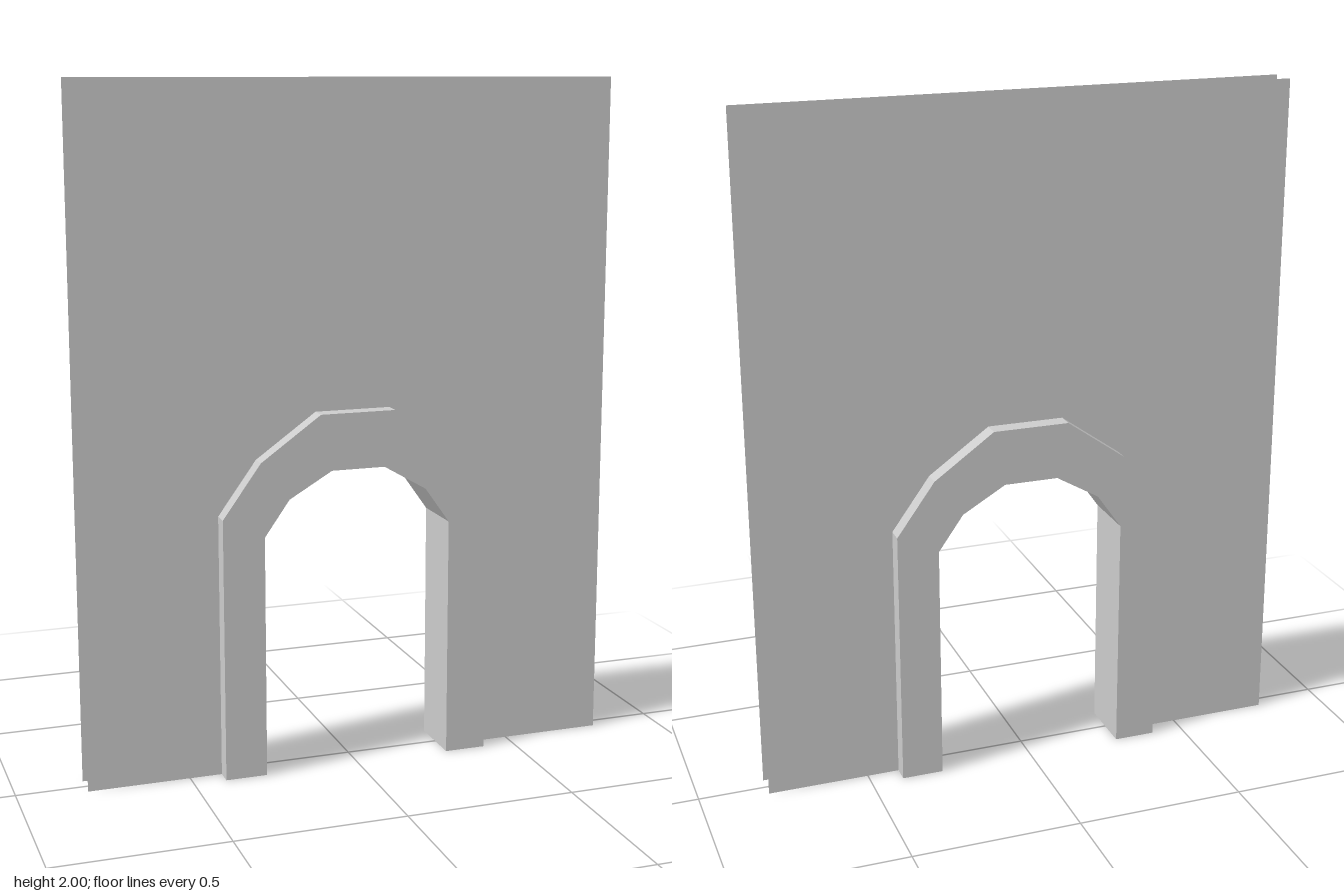
import * as THREE from 'three';

// right half of each arch outline, from the floor up
const OUTER = [[0.405, 0], [0.405, 0.775], [0.292, 0.932], [0.113, 1.06]];
const INNER = [[0.282, 0], [0.282, 0.715], [0.208, 0.82], [0.08, 0.895]];
const SHEET_Z = 0.04, TRIM_Z = 0.09;

// full arch outline, from right foot over the top to left foot
function arch(half) {
  const right = half.map(([x, y]) => new THREE.Vector2(x, y));
  const left = half.map(([x, y]) => new THREE.Vector2(-x, y)).reverse();
  return [...right, ...left];
}

export function createModel() {
  const group = new THREE.Group();
  const solid = new THREE.MeshStandardMaterial({ color: 0xcccccc, flatShading: true });
  const thin = new THREE.MeshStandardMaterial({ color: 0xcccccc, flatShading: true, side: THREE.DoubleSide });
  const add = (name, geometry, material) => {
    const mesh = new THREE.Mesh(geometry, material);
    mesh.name = name;
    group.add(mesh);
    return mesh;
  };

  const outer = arch(OUTER), inner = arch(INNER);

  // thin wall sheet, cut out around the arch trim
  const wallShape = new THREE.Shape([
    new THREE.Vector2(0.8, 0), new THREE.Vector2(0.8, 2),
    new THREE.Vector2(-0.8, 2), new THREE.Vector2(-0.8, 0),
    ...outer.slice().reverse(),
  ]);
  // raised arch trim, closed at the feet
  const trimShape = new THREE.Shape([...outer, ...inner.slice().reverse()]);

  for (const [side, s] of [['front', 1], ['back', -1]]) {
    const wall = add(side + 'Wall', new THREE.ShapeGeometry(wallShape), thin);
    wall.position.z = s * SHEET_Z;
    if (s < 0) wall.geometry.scale(-1, 1, 1).rotateY(0), wall.geometry.index.array.reverse();
    wall.geometry.computeVertexNormals();

    const trim = add(side + 'Trim', new THREE.ExtrudeGeometry(trimShape, {
      depth: TRIM_Z - SHEET_Z, bevelEnabled: false,
    }), solid);
    trim.position.z = s > 0 ? SHEET_Z : -TRIM_Z;
  }

  // lining of the opening between the two trims
  const positions = [], index = [];
  inner.forEach((p, i) => {
    positions.push(p.x, p.y, SHEET_Z, p.x, p.y, -SHEET_Z);
    const a = 2 * i;
    if (i < inner.length - 1) index.push(a, a + 2, a + 1, a + 1, a + 2, a + 3);
  });
  const lining = new THREE.BufferGeometry();
  lining.setAttribute('position', new THREE.Float32BufferAttribute(positions, 3));
  lining.setIndex(index);
  const flat = lining.toNonIndexed();
  flat.computeVertexNormals();
  add('doorwayLining', flat, thin);

  return group;
}
